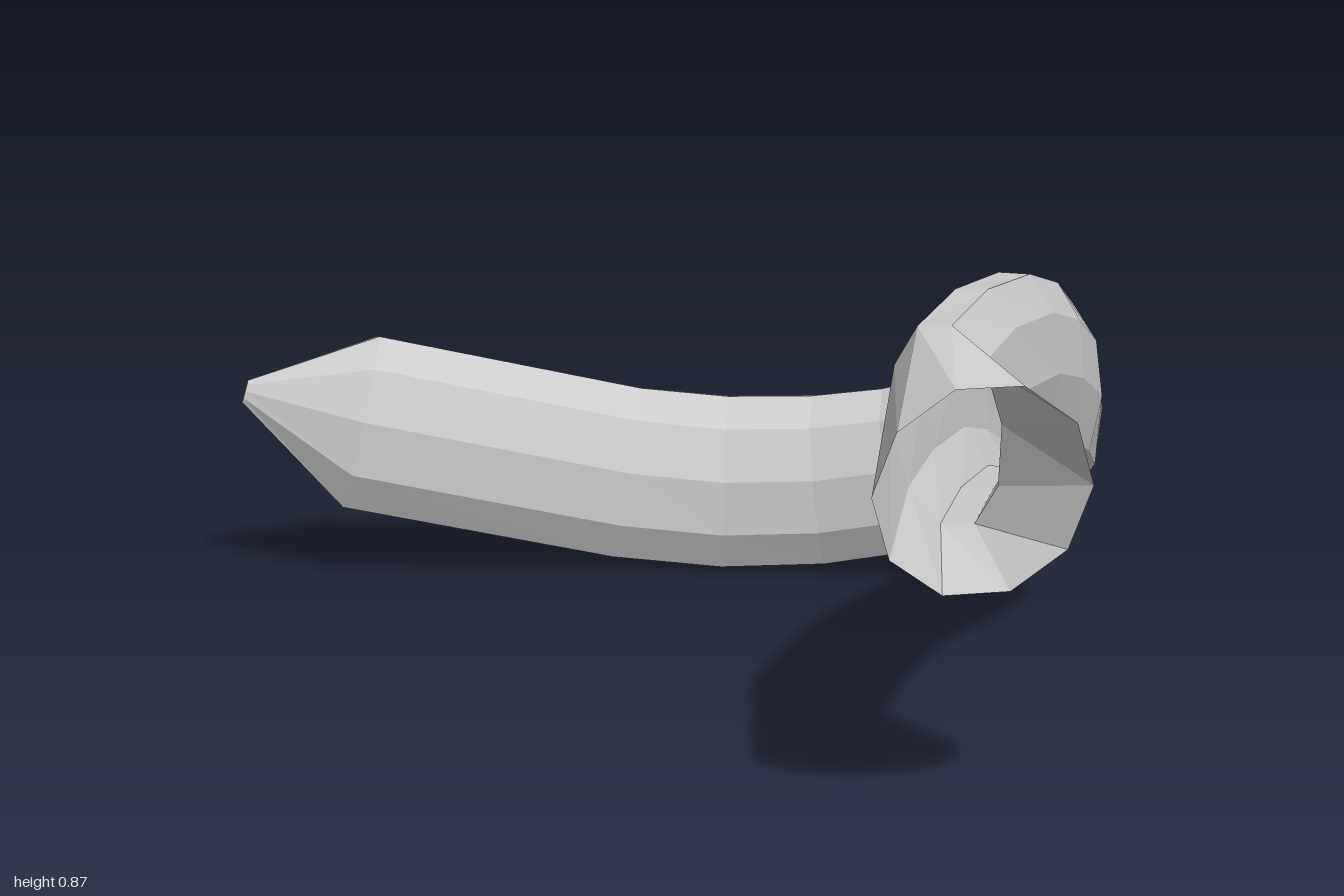
import * as THREE from 'three';

const SIDES = 10;

// Stations along the horn: centre x, y, z, half width, half height, outward roll, optional heading [x, y, z]
const stations = [
  [0.525, 0.63, 0.955, 0.2, 0.2, 0, [-0.045, 0.03, -0.2]],
  [0.485, 0.68, 0.66, 0.105, 0.195, -0.1, [0.4, 0.1, -0.9]],
  [0.56, 0.69, 0.4, 0.1, 0.197, -0.05],
  [0.65, 0.67, 0.14, 0.1, 0.196, 0],
  [0.72, 0.62, -0.05, 0.1, 0.195, 0],
  [0.782, 0.54, -0.24, 0.098, 0.193, 0],
  [0.808, 0.46, -0.43, 0.098, 0.19, 0],
  [0.77, 0.375, -0.605, 0.1, 0.19, 0.05],
  [0.665, 0.3, -0.73, 0.1, 0.19, 0.1],
  [0.52, 0.245, -0.815, 0.102, 0.19, 0.15],
  [0.345, 0.21, -0.868, 0.104, 0.195, 0.19],
  [0.135, 0.2, -0.895, 0.104, 0.198, 0.2],
  [-0.085, 0.222, -0.893, 0.106, 0.198, 0.2],
  [-0.665, 0.35, -0.84, 0.11, 0.2, 0.2],
  [-0.912, 0.425, -0.81, 0.012, 0.026, 0.2],
];

const centre = (i) => new THREE.Vector3(...stations[THREE.MathUtils.clamp(i, 0, stations.length - 1)].slice(0, 3));

// Ten-sided oval ring, square to the path and rolled about it
function ring(i) {
  const [, , , w, h, roll, heading] = stations[i];
  const t = heading ? new THREE.Vector3(...heading) : centre(i + 1).sub(centre(i - 1));
  t.normalize();
  const side = t.clone().cross(new THREE.Vector3(0, 1, 0)).normalize();
  const up = side.clone().cross(t);
  side.applyAxisAngle(t, roll);
  up.applyAxisAngle(t, roll);
  return Array.from({ length: SIDES }, (_, j) => {
    const a = (j / SIDES) * Math.PI * 2;
    return centre(i).addScaledVector(side, w * Math.cos(a)).addScaledVector(up, h * Math.sin(a));
  });
}

// Skin between consecutive rings
function loft(rings, capEnd) {
  const n = rings.length;
  const points = rings.flat();
  const index = [];
  for (let i = 0; i < n - 1; i++) {
    for (let j = 0; j < SIDES; j++) {
      const k = (j + 1) % SIDES;
      const a = i * SIDES + j, b = i * SIDES + k;
      index.push(a, a + SIDES, b, b, a + SIDES, b + SIDES);
    }
  }
  if (capEnd) {
    const o = (n - 1) * SIDES;
    for (let j = 1; j < SIDES - 1; j++) index.push(o, o + j + 1, o + j);
  }
  const g = new THREE.BufferGeometry().setFromPoints(points);
  g.setIndex(index);
  g.computeVertexNormals();
  return g;
}

export function createModel() {
  const group = new THREE.Group();
  group.name = 'curvedHorn';
  const material = new THREE.MeshStandardMaterial({ color: 0xcccccc, flatShading: true, side: THREE.DoubleSide });
  const rings = stations.map((_, i) => ring(i));
  const last = rings.length - 1;

  // Open flared mouth, curved body, pointed tip
  const parts = [
    ['flaredMouth', 0, 1, false],
    ['curvedBody', 1, last - 1, false],
    ['pointedTip', last - 1, last, true],
  ];
  for (const [name, from, to, cap] of parts) {
    const mesh = new THREE.Mesh(loft(rings.slice(from, to + 1), cap), material);
    mesh.name = name;
    group.add(mesh);
  }
  return group;
}
